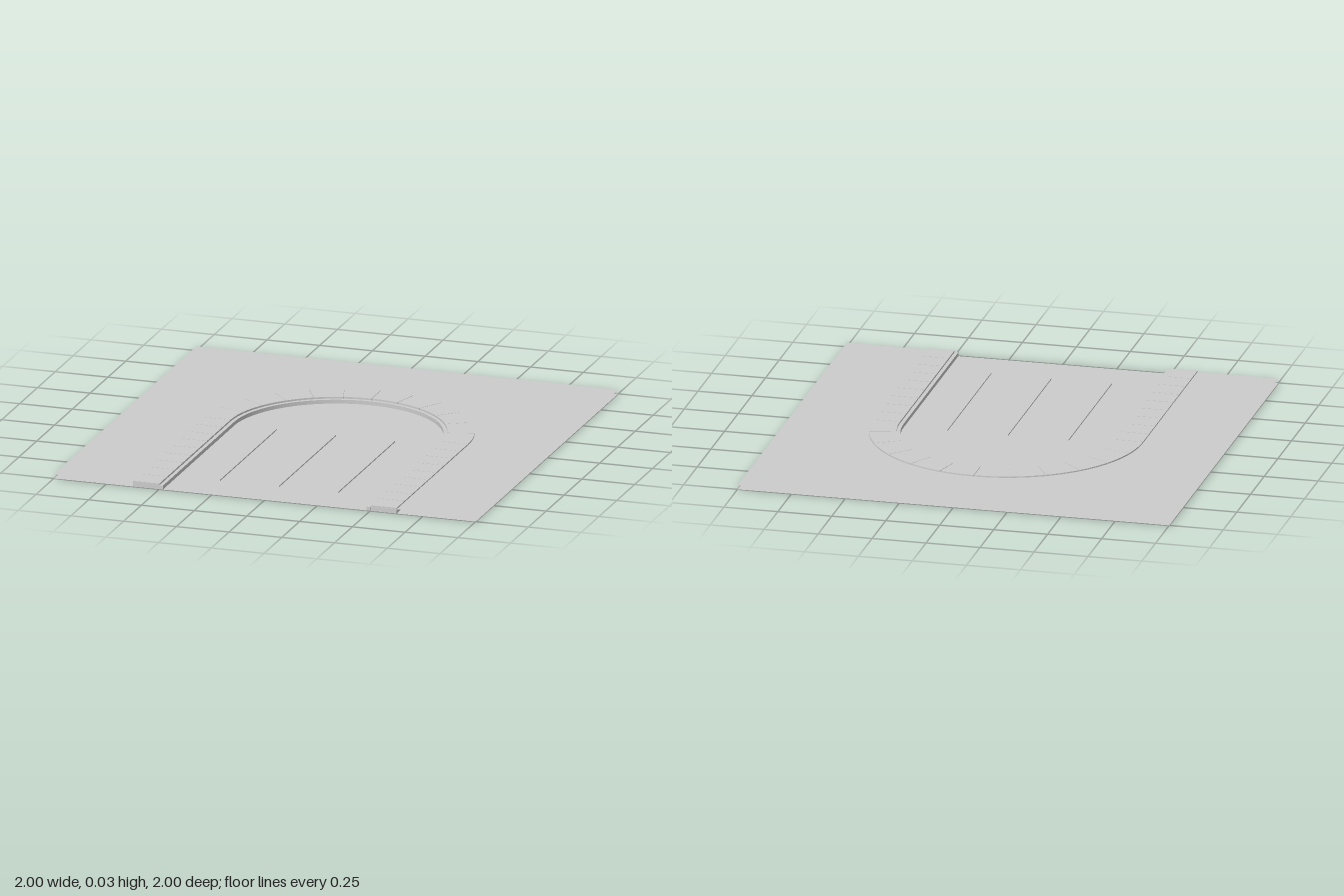
import * as THREE from 'three';

const INNER = 0.5, OUTER = 0.625, TRIM = 0.483, WALL_Y = 0.02, STONE_Y = 0.026;

export function createModel() {
  const group = new THREE.Group();
  const solid = new THREE.MeshStandardMaterial({ color: 0xcccccc, flatShading: true });
  const sheet = new THREE.MeshStandardMaterial({ color: 0xcccccc, side: THREE.DoubleSide });

  const add = (name, geometry, material = solid) => {
    const mesh = new THREE.Mesh(geometry, material);
    mesh.name = name;
    group.add(mesh);
    return mesh;
  };

  // Plans are drawn with +y pointing to the back, then laid flat
  const layFlat = (geometry, y = 0) => geometry.rotateX(-Math.PI / 2).translate(0, y, 0);
  const raise = (shape, depth, curveSegments) =>
    layFlat(new THREE.ExtrudeGeometry(shape, { depth, bevelEnabled: false, curveSegments }));

  // Doorway outline: straight jambs with a half-round head
  const doorway = (path, r) => {
    path.moveTo(r, -1);
    path.lineTo(r, 0);
    path.absarc(0, 0, r, 0, Math.PI, false);
    path.lineTo(-r, -1);
    return path;
  };

  // Back sheet, which is also the recessed door face
  add('doorAndBack', layFlat(new THREE.PlaneGeometry(2, 2)), sheet);

  // Raised wall sheet around the doorway
  const wall = doorway(new THREE.Shape(), INNER + 0.02);
  wall.lineTo(-1, -1);
  wall.lineTo(-1, 1);
  wall.lineTo(1, 1);
  wall.lineTo(1, -1);
  wall.closePath();
  add('wall', layFlat(new THREE.ShapeGeometry(wall, 48), WALL_Y), sheet);

  // Arch stones
  const count = 12, step = Math.PI / count, gap = 0.002;
  for (let i = 0; i < count; i++) {
    const a = i * step + gap, b = (i + 1) * step - gap;
    const stone = new THREE.Shape();
    stone.absarc(0, 0, OUTER, a, b, false);
    stone.absarc(0, 0, INNER, b, a, true);
    stone.closePath();
    add('archStone', raise(stone, STONE_Y, 4));
  }

  // Jamb stones on both sides
  const rows = 9, length = 1 / rows;
  for (const side of [-1, 1]) {
    for (let i = 0; i < rows; i++) {
      const box = new THREE.BoxGeometry(OUTER - INNER, STONE_Y, length - 0.003);
      add('jambStone', box).position.set(side * (INNER + OUTER) / 2, STONE_Y / 2, (i + 0.5) * length);
    }
  }

  // Narrow trim lining the opening
  const trim = new THREE.Shape();
  trim.moveTo(INNER, -1);
  trim.lineTo(INNER, 0);
  trim.absarc(0, 0, INNER, 0, Math.PI, false);
  trim.lineTo(-INNER, -1);
  trim.lineTo(-TRIM, -1);
  trim.lineTo(-TRIM, 0);
  trim.absarc(0, 0, TRIM, Math.PI, 0, true);
  trim.lineTo(TRIM, -1);
  trim.closePath();
  add('doorTrim', raise(trim, 0.018, 48));

  // Thin upright plank seams on the door
  for (const x of [-0.28, 0, 0.28]) {
    const seam = new THREE.PlaneGeometry(0.8, 0.006).rotateY(Math.PI / 2);
    add('plankSeam', seam, sheet).position.set(x, 0.003, 0.4);
  }

  return group;
}
